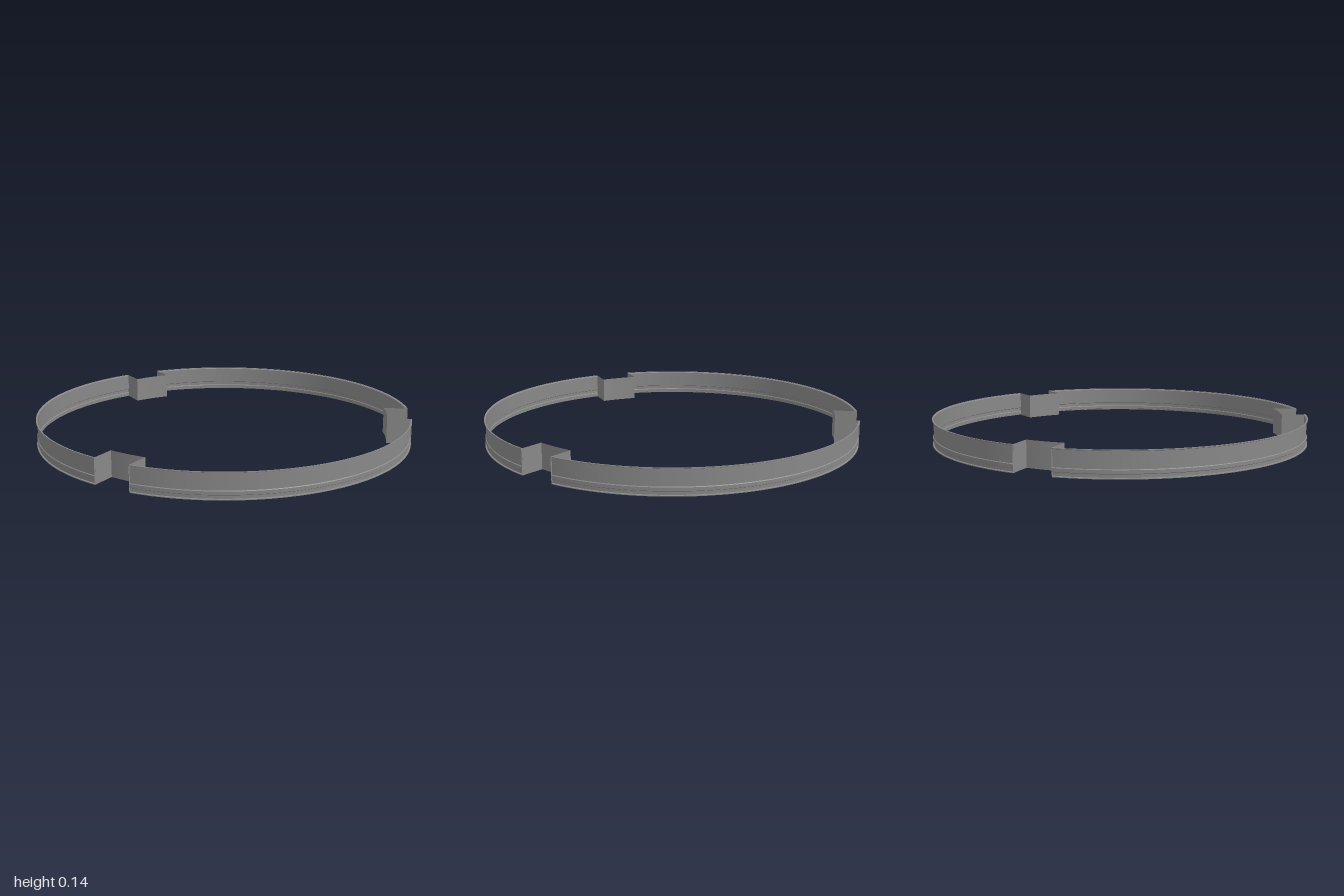
import * as THREE from 'three';
import { toCreasedNormals } from 'three/addons/utils/BufferGeometryUtils.js';

const HEIGHT = 0.135;
const INNER_R = 0.871;   // radius of the recessed panels
const HALF_WIDTH = 0.1;  // half the width of a notch
const WALL_R = 0.993;

// Rim cross-section as [radius, height]: foot lip, shallow bead, plain band, top lip
const RIM = [
  [1, 0], [1, 0.004], [WALL_R, 0.006], [WALL_R, 0.022], [0.997, 0.025],
  [0.997, 0.042], [WALL_R, 0.045], [WALL_R, 0.128], [1, 0.131], [1, HEIGHT], [WALL_R, HEIGHT],
];

export function createModel() {
  const model = new THREE.Group();
  const steel = new THREE.MeshStandardMaterial({ color: 0x888888, side: THREE.DoubleSide });
  steel.name = 'grey steel';

  const add = (parent, name, geometry) => {
    const mesh = new THREE.Mesh(geometry, steel);
    mesh.name = name;
    parent.add(mesh);
    return mesh;
  };
  const sweep = (profile, start, length, segments) => toCreasedNormals(
    new THREE.LatheGeometry(profile.map(([r, y]) => new THREE.Vector2(r, y)), segments, start, length), 0.4);

  const ring = new THREE.Group();
  ring.name = 'notchedRing';
  ring.position.z = 0.0025;
  model.add(ring);

  // Notches sit at the front and at both rear sides
  const centres = [0, 118, 242, 360].map(THREE.MathUtils.degToRad);
  const gap = Math.asin(HALF_WIDTH);
  const innerGap = Math.asin(HALF_WIDTH / INNER_R);
  const wallStart = Math.sqrt(INNER_R ** 2 - HALF_WIDTH ** 2);
  const wallEnd = Math.sqrt(1 - HALF_WIDTH ** 2);

  for (let i = 0; i < 3; i++) {
    // Long outer arc up to the next notch
    const start = centres[i] + gap;
    add(ring, 'rimArc', sweep(RIM, start, centres[i + 1] - gap - start, 64));

    // Recessed panel joined to the rim by two radial side walls
    const notch = new THREE.Group();
    notch.name = 'notch';
    notch.rotation.y = centres[i];
    ring.add(notch);
    add(notch, 'notchPanel', sweep([[INNER_R, 0], [INNER_R, HEIGHT]], -innerGap, 2 * innerGap, 10));
    for (const side of [-1, 1]) {
      const wall = add(notch, 'notchWall', new THREE.PlaneGeometry(wallEnd - wallStart, HEIGHT));
      wall.rotation.y = side * Math.PI / 2;
      wall.position.set(side * HALF_WIDTH, HEIGHT / 2, (wallStart + wallEnd) / 2);
    }
  }
  return model;
}
